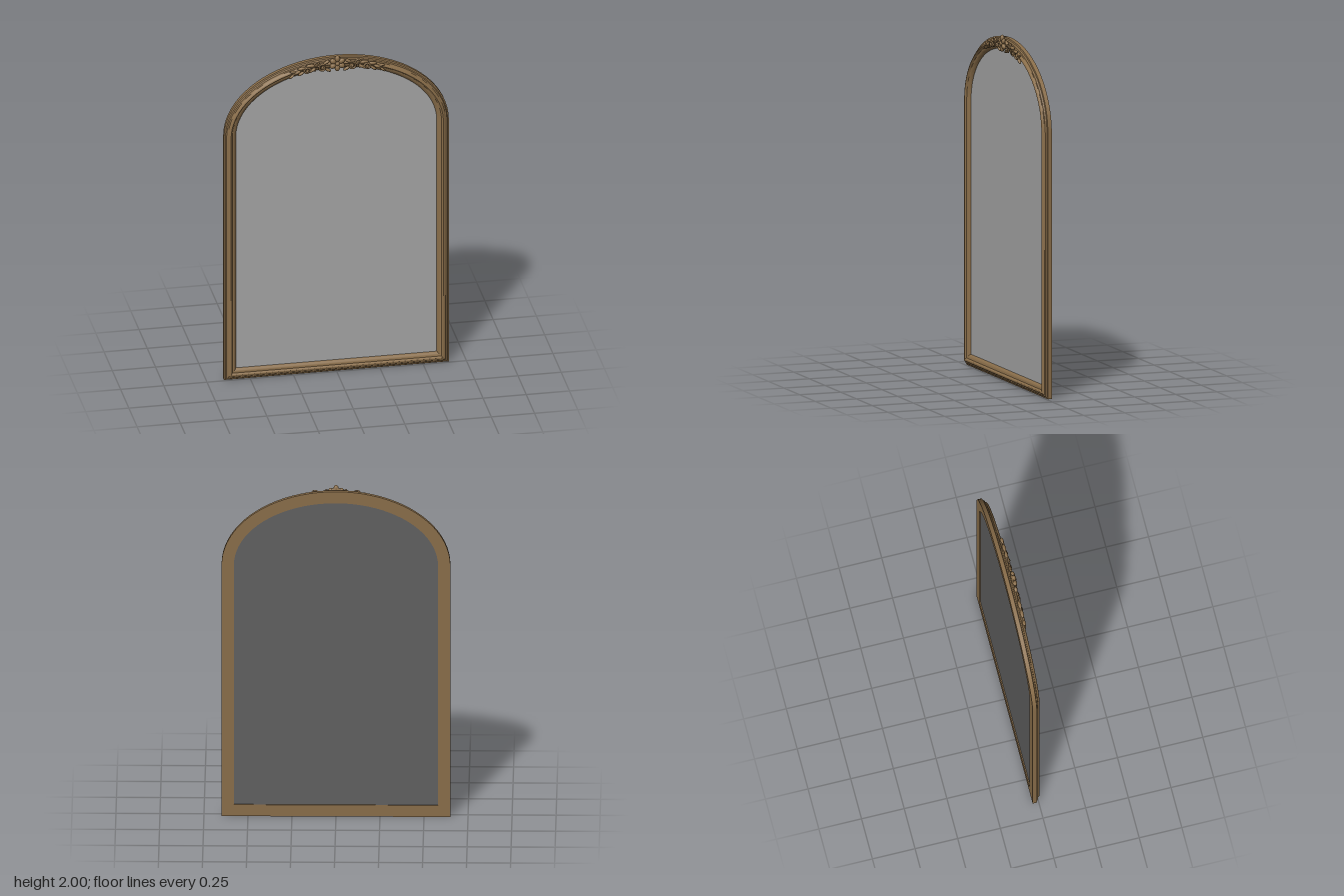
import * as THREE from 'three';
import { toCreasedNormals } from 'three/addons/utils/BufferGeometryUtils.js';

const W = 0.65, SPRING = 1.53, RISE = 0.45, SEGS = 40;

// Arched outline, inset by d from the outer edge, counter-clockwise from bottom left
function outline(d) {
  const pts = [[-(W - d), d], [W - d, d]];
  for (let i = 0; i <= SEGS; i++) {
    const a = Math.PI * i / SEGS;
    pts.push([(W - d) * Math.cos(a), SPRING + (RISE - d) * Math.sin(a)]);
  }
  return pts;
}

// Moulding swept around the outline, with mitred bottom corners
function frameGeometry() {
  const profile = [ // inset, z
    [0, -0.035], [0, -0.011], [0.008, -0.008], [0.013, 0], [0.021, 0.002],
    [0.026, 0.010], [0.031, 0.014], [0.036, 0.015], [0.041, 0.012], [0.045, 0.004],
    [0.053, 0.002], [0.060, -0.002], [0.066, -0.007], [0.070, -0.014], [0.070, -0.035],
  ];
  const n = profile.length, pos = [], index = [];
  const rings = profile.map(([d, z]) => outline(d).map(([x, y]) => [x, y, z]));
  const m = rings[0].length;
  rings.forEach(r => r.forEach(p => pos.push(...p)));
  for (let j = 0; j < n; j++) {
    for (let i = 0; i < m; i++) {
      const j2 = (j + 1) % n, i2 = (i + 1) % m;
      const a = j * m + i, b = j * m + i2, c = j2 * m + i, d = j2 * m + i2;
      index.push(a, b, c, b, d, c);
    }
  }
  const g = new THREE.BufferGeometry();
  g.setAttribute('position', new THREE.Float32BufferAttribute(pos, 3));
  g.setIndex(index);
  return toCreasedNormals(g, 0.6);
}

export function createModel() {
  const wood = new THREE.MeshStandardMaterial({ name: 'antique bronze', color: 0x8a6e4a });
  const silver = new THREE.MeshStandardMaterial({ name: 'mirror grey', color: 0xa6a6a6 });
  const backing = new THREE.MeshStandardMaterial({ name: 'backing grey', color: 0x606060 });
  const model = new THREE.Group();
  model.name = 'archedMirror';

  const add = (parent, geo, mat, name) => {
    const mesh = new THREE.Mesh(geo, mat);
    mesh.name = name;
    parent.add(mesh);
    return mesh;
  };

  add(model, frameGeometry(), wood, 'frame');

  // Mirror panel and its back
  const panel = new THREE.ShapeGeometry(
    new THREE.Shape(outline(0.068).map(([x, y]) => new THREE.Vector2(x, y))));
  add(model, panel, silver, 'mirrorGlass').position.z = -0.013;
  const back = add(model, panel, backing, 'mirrorBack');
  back.rotation.y = Math.PI;
  back.position.z = -0.028;

  // Carved crest along the top of the arch
  const crest = new THREE.Group();
  crest.name = 'crest';
  model.add(crest);
  const mid = x => SPRING + 0.415 * Math.sqrt(1 - (x / 0.615) ** 2);
  const ball = new THREE.SphereGeometry(1, 14, 10);
  const blob = (name, x, y, z, rx, ry, rz, turn = 0) => {
    const b = add(crest, ball, wood, name);
    b.position.set(x, y, z);
    b.scale.set(rx, ry, rz);
    b.rotation.z = turn;
  };

  // Rosette
  for (let i = 0; i < 6; i++) {
    const a = Math.PI / 2 + i * Math.PI / 3;
    blob('petal', 0.029 * Math.cos(a), 1.951 + 0.029 * Math.sin(a), 0.019, 0.02, 0.015, 0.013, a);
  }
  blob('rosetteCentre', 0, 1.951, 0.024, 0.013, 0.013, 0.011);
  blob('rosetteBase', 0, 1.95, 0.012, 0.038, 0.038, 0.008);

  // Spiral with a tail that ends at (tx, ty)
  const scroll = (s, cx, cy, r, start, spin, tx, ty, tube) => {
    const pts = [];
    for (let i = 0; i <= 18; i++) {
      const t = i / 18, a = start + spin * t * Math.PI * 2.6, q = r * (0.2 + 0.8 * t);
      pts.push(new THREE.Vector3(s * (cx + q * Math.cos(a)), cy + q * Math.sin(a), 0.023 - 0.005 * t));
    }
    pts.push(new THREE.Vector3(s * tx, ty, 0.014));
    add(crest, new THREE.TubeGeometry(new THREE.CatmullRomCurve3(pts), 64, tube, 6), wood, 'scroll');
    blob('scrollEye', s * cx, cy, 0.02, r * 0.4, r * 0.4, 0.01);
  };

  for (const s of [1, -1]) {
    scroll(s, 0.085, mid(0.085) - 0.012, 0.024, 0, 1, 0.05, 1.975, 0.006);
    scroll(s, 0.118, mid(0.118) + 0.012, 0.018, 2, -1, 0.185, mid(0.185) + 0.012, 0.006);
    scroll(s, 0.175, mid(0.175) - 0.01, 0.02, 1, 1, 0.125, mid(0.125) - 0.022, 0.006);
    // Leaves: x, offset from the band centre, length, width, turn
    for (const [x, dy, l, w, turn] of [
      [0.055, -0.03, 0.022, 0.009, 0.5], [0.062, 0.018, 0.02, 0.009, -0.5],
      [0.145, -0.016, 0.026, 0.009, -0.5], [0.152, 0.014, 0.03, 0.01, 0],
      [0.205, 0.012, 0.026, 0.009, -0.1], [0.208, -0.018, 0.022, 0.008, -0.6],
      [0.235, -0.004, 0.026, 0.01, -0.35], [0.255, 0.008, 0.02, 0.007, 0.1],
      [0.262, -0.016, 0.022, 0.007, -0.7],
    ]) {
      blob('leaf', s * x, mid(x) + dy, 0.015, l, w, 0.01, s * turn);
    }
  }
  return model;
}
